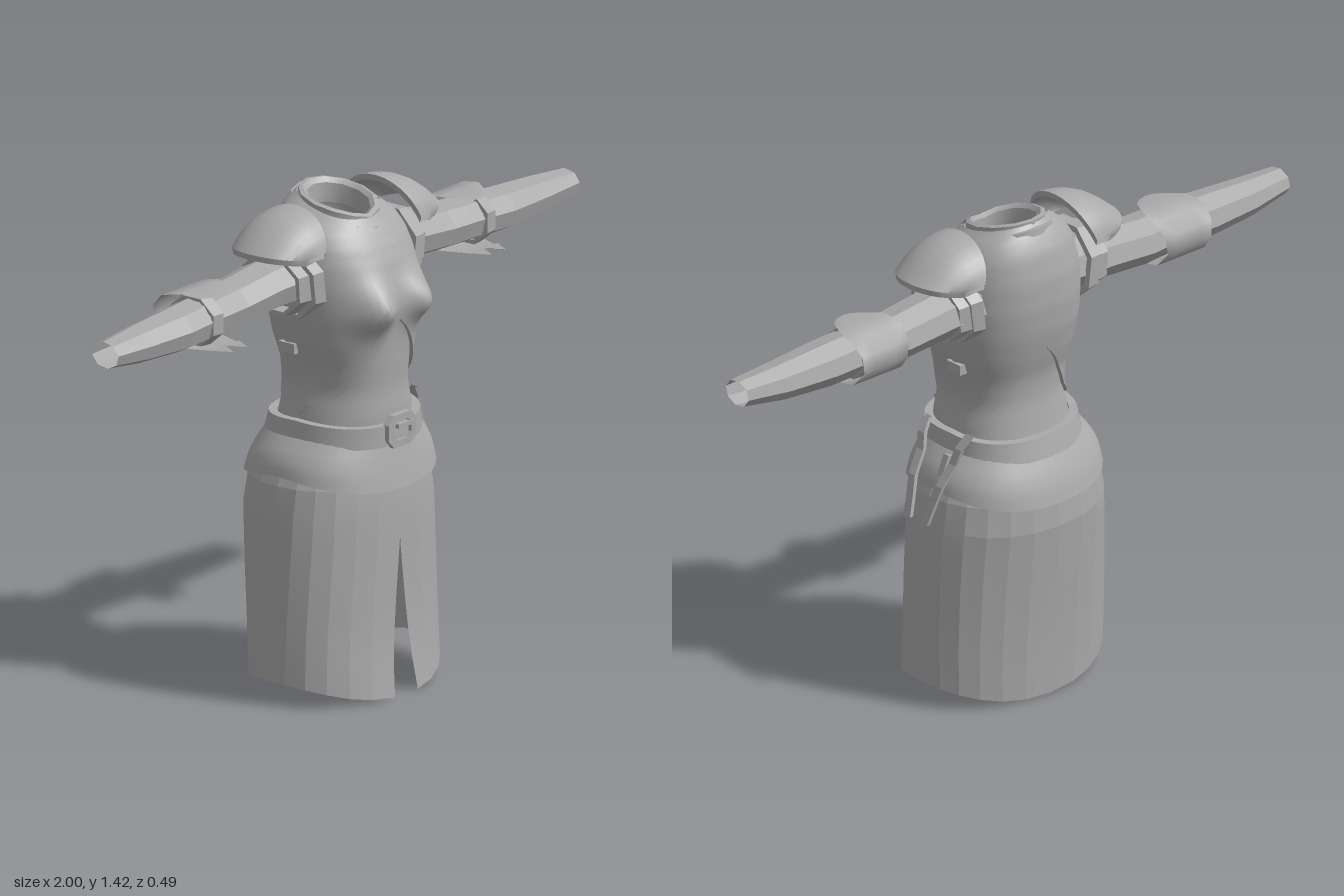
import * as THREE from 'three';
import { toCreasedNormals } from 'three/addons/utils/BufferGeometryUtils.js';

const steel = new THREE.MeshStandardMaterial({ color: 0xaaaaaa, side: THREE.DoubleSide });
steel.name = 'grey steel';
const SMOOTH = 0.8, FLAT = 0.01;

// Surface from a rule fn(i, j) over nu x nv points, optionally closed in either direction
function surface(name, nu, nv, closeU, closeV, crease, fn) {
  const pos = [], idx = [];
  for (let j = 0; j < nv; j++) for (let i = 0; i < nu; i++) pos.push(...fn(i, j));
  for (let j = 0; j < (closeV ? nv : nv - 1); j++) {
    for (let i = 0; i < (closeU ? nu : nu - 1); i++) {
      const i2 = (i + 1) % nu, j2 = (j + 1) % nv;
      const a = j * nu + i, b = j * nu + i2, c = j2 * nu + i2, d = j2 * nu + i;
      idx.push(a, b, c, a, c, d);
    }
  }
  const geo = new THREE.BufferGeometry();
  geo.setAttribute('position', new THREE.Float32BufferAttribute(pos, 3));
  geo.setIndex(idx);
  return part(name, toCreasedNormals(geo, crease));
}

function part(name, geo) {
  const mesh = new THREE.Mesh(geo, steel);
  mesh.name = name;
  return mesh;
}

// Interpolates a table of [y, halfWidth, front, back] sorted by rising y
function sample(table, y) {
  let k = 0;
  while (k < table.length - 2 && y > table[k + 1][0]) k++;
  const p = table[k], q = table[k + 1];
  const t = THREE.MathUtils.clamp((y - p[0]) / (q[0] - p[0]), 0, 1);
  return p.map((v, n) => v + (q[n] - v) * t);
}

// Point on a rounded-box outline; theta 0 is the front
function outline([, a, f, b], theta, grow = 0, power = 0.87) {
  const s = Math.sin(theta), c = Math.cos(theta);
  return [(a + grow) * Math.sign(s) * Math.abs(s) ** power,
    ((c > 0 ? f : b) + grow) * Math.sign(c) * Math.abs(c) ** power];
}

const TORSO = [
  [0.66, 0.2, 0.18, 0.17], [0.72, 0.195, 0.185, 0.165], [0.8, 0.18, 0.19, 0.15],
  [0.88, 0.16, 0.185, 0.137], [0.95, 0.168, 0.19, 0.14], [1.02, 0.19, 0.193, 0.16],
  [1.1, 0.2, 0.19, 0.177], [1.18, 0.203, 0.183, 0.183], [1.25, 0.195, 0.17, 0.18],
  [1.31, 0.18, 0.15, 0.162], [1.35, 0.155, 0.128, 0.137], [1.385, 0.1, 0.098, 0.11],
];
function torsoPoint(theta, y, grow) {
  let [x, z] = outline(sample(TORSO, y), theta, grow);
  if (z > 0) {
    const dx = (Math.abs(x) - 0.088) / 0.062, dy = (y - 1.12) / (y > 1.12 ? 0.07 : 0.06);
    const far = (Math.abs(x) + 0.088) / 0.062;
    z += 0.065 * Math.exp(-dy * dy) * (Math.exp(-dx * dx) + Math.exp(-far * far));
  }
  return [x, y - z * 0.25 * THREE.MathUtils.smoothstep(y, 1.2, 1.38), z];
}

// Closed band: an outline swept through a small loop of [y, grow]
function band(name, table, sides, loop, drop, crease) {
  return surface(name, sides, loop.length, true, true, crease, (i, j) => {
    const th = (i / sides) * Math.PI * 2, [y, grow] = loop[j];
    const [x, z] = outline(sample(table, y), th, grow);
    return [x, y + drop(th, y), z];
  });
}

// Faceted ring around the arm, with centre, radii and a span in x
function armRing(name, x0, x1, cy, ry, cz, rz, lean = 0) {
  const loop = [[x0, 1], [x1, 0.96], [x1, 0.84], [x0, 0.84]];
  return surface(name, 8, 4, true, true, FLAT, (i, j) => {
    const a = ((i + 0.5) / 8) * Math.PI * 2, [x, s] = loop[j];
    return [x + lean * Math.sin(a), cy + ry * s * Math.sin(a) * 1.05, cz + rz * s * Math.cos(a) * 1.05];
  });
}

function makeArm(side) {
  const arm = new THREE.Group();
  arm.name = side > 0 ? 'leftArm' : 'rightArm';
  // Sleeve: x, centre y, radius y, centre z, radius z
  const rows = [[0.17, 1.2, 0.075, -0.035, 0.09], [0.3, 1.197, 0.07, -0.04, 0.088],
    [0.45, 1.183, 0.067, -0.04, 0.084], [0.57, 1.18, 0.065, -0.03, 0.076],
    [0.7, 1.174, 0.063, -0.026, 0.076], [0.86, 1.174, 0.053, -0.025, 0.064], [1, 1.179, 0.038, -0.018, 0.048]];
  arm.add(surface('sleeve', 8, rows.length, true, false, FLAT, (i, j) => {
    const a = ((i + 0.2) / 8) * Math.PI * 2, [x, cy, ry, cz, rz] = rows[j];
    return [x, cy + ry * Math.sin(a), cz + rz * Math.cos(a)];
  }));
  arm.add(armRing('armholeRim', 0.195, 0.235, 1.2, 0.112, -0.018, 0.125, 0.015));
  arm.add(armRing('shoulderCuff', 0.225, 0.272, 1.2, 0.093, -0.025, 0.107, 0.008));
  arm.add(armRing('elbowStrap', 0.572, 0.612, 1.179, 0.073, -0.03, 0.084));

  // Elbow guard wraps over the back of the arm and ends in two points: y, z, half width
  const guard = [[1.253, 0.02, 0.05], [1.262, -0.04, 0.085], [1.25, -0.1, 0.095], [1.215, -0.138, 0.085],
    [1.165, -0.142, 0.08], [1.12, -0.105, 0.088], [1.106, -0.04, 0.085], [1.107, 0.04, 0.055], [1.11, 0.05, 0.06]];
  arm.add(surface('elbowGuard', 5, guard.length, false, false, SMOOTH, (i, j) => {
    const [y, z, w] = guard[j], s = i / 2 - 1;
    const tip = j === guard.length - 1 && i % 2 ? 0.052 : 0;
    const peak = j === 0 ? 0.02 * (1 - s * s) : 0;
    return [0.56 + s * w, y, z + tip + peak];
  }));

  // Pauldron: an arched plate with a thick rim
  const NV = 6;
  arm.add(surface('pauldron', 15, NV * 2, false, true, 0.6, (i, j) => {
    const w = i / 7 - 1, inner = j >= NV;
    const v = (inner ? 2 * NV - 1 - j : j) / (NV - 1);
    const arch = Math.cos(w * 1.45);
    const x0 = 0.172 + 0.035 * w * w, y0 = 1.288 + 0.118 * arch;
    const x1 = 0.372 - 0.105 * w * w, y1 = 1.312 - 0.02 * w * w;
    const lift = 0.025 * Math.sin(v * Math.PI) * arch;
    return [x0 + (x1 - x0) * v, y0 + (y1 - y0) * v + lift - (inner ? 0.016 : 0),
      -0.02 + 0.137 * Math.sin(w * 1.45) * (1 - 0.1 * v * v) * (inner ? 0.96 : 1)];
  }));

  // Side lacing strip and buckle on the breastplate
  arm.add(surface('sideSeam', 2, 9, false, false, SMOOTH, (i, j) =>
    torsoPoint(Math.PI / 2 + 0.06 + i * 0.09, 0.83 + j * 0.033, 0.014)));
  const clasp = part('sideBuckle', new THREE.BoxGeometry(0.03, 0.03, 0.055));
  clasp.position.set(0.193, 1.0, -0.025);
  arm.add(clasp);

  if (side < 0) { // Mirror by moving vertices and turning the faces round
    arm.traverse((o) => {
      if (!o.isMesh) return;
      o.position.x *= -1;
      o.geometry = o.geometry.index ? o.geometry.toNonIndexed() : o.geometry;
      o.geometry.scale(-1, 1, 1);
      for (const key of ['position', 'normal']) {
        const at = o.geometry.attributes[key], p = new THREE.Vector3(), q = new THREE.Vector3();
        for (let k = 0; k < at.count; k += 3) {
          p.fromBufferAttribute(at, k + 1);
          q.fromBufferAttribute(at, k + 2);
          at.setXYZ(k + 1, q.x, q.y, q.z);
          at.setXYZ(k + 2, p.x, p.y, p.z);
        }
      }
    });
  }
  return arm;
}

export function createModel() {
  const model = new THREE.Group();
  model.name = 'armourOutfit';
  const TAU = Math.PI * 2;

  // Bodice and the breastplate, whose lower edge peaks at front and back
  model.add(surface('bodice', 64, 30, true, false, SMOOTH, (i, j) =>
    torsoPoint((i / 64) * TAU, 0.68 + (0.7 * j) / 29, 0)));
  model.add(surface('breastplate', 64, 32, true, false, SMOOTH, (i, j) => {
    const th = (i / 64) * TAU;
    const low = (Math.cos(th) > 0 ? 1.08 : 1.05) - 0.245 * Math.abs(Math.sin(th));
    return torsoPoint(th, low + (1.382 - low) * Math.max(0, j - 1) / 30, j === 0 ? 0 : 0.009);
  }));

  // Collar: radius and height loop, higher at the back with a dip at the front
  const collar = [[0.132, 1.352], [0.128, 1.372], [0.108, 1.376], [0.108, 1.392], [0.096, 1.396], [0.084, 1.385], [0.082, 1.33]];
  model.add(surface('collar', 12, collar.length, true, false, 0.6, (i, j) => {
    const th = (i / 12) * TAU, [r, y] = collar[j];
    const z = r * Math.cos(th) * 1.08 - 0.008;
    return [r * Math.sin(th), y - z * 0.22 - 0.014 * Math.max(0, Math.cos(th)) ** 6, z];
  }));

  // Skirt with a front slit, a raised hem at the sides and an inner layer
  const SKIRT = [[0, 0.305, 0.235, 0.195], [0.06, 0.31, 0.225, 0.197], [0.2, 0.31, 0.213, 0.205],
    [0.4, 0.304, 0.21, 0.222], [0.55, 0.292, 0.21, 0.236], [0.62, 0.277, 0.205, 0.225], [0.7, 0.24, 0.195, 0.19]];
  const COLS = 25, ROWS = 9;
  model.add(surface('skirt', COLS, ROWS * 2, false, true, 0.15, (i, j) => {
    const inner = j >= ROWS, t = (inner ? 2 * ROWS - 1 - j : j) / (ROWS - 1);
    const gap = Math.asin(0.17 * Math.max(0, (t - 0.36) / 0.64)) ** 1.13 * 0.98;
    const th = gap + (TAU - 2 * gap) * (i / (COLS - 1));
    const hem = 0.065 * Math.sin(th) ** 2;
    const y = 0.7 + (hem - 0.7) * t;
    const edge = i === 0 || i === COLS - 1;
    const [x, z] = outline(sample(SKIRT, y), th, inner && !edge ? -0.014 : 0, 0.9);
    return [x, y, z];
  }));

  // Flared hip plate, longer at front and back
  const HIPS = [[0.6, 0.277, 0.232, 0.242], [0.65, 0.27, 0.222, 0.23], [0.7, 0.245, 0.21, 0.207], [0.76, 0.2, 0.197, 0.175]];
  const hipDrop = (th, y) => {
    const c = Math.abs(Math.cos(th));
    return (0.05 - 0.05 * c ** 1.3) * THREE.MathUtils.clamp((0.76 - y) / 0.16, 0, 1);
  };
  model.add(band('hipPlate', HIPS, 40, [[0.6, 0], [0.63, 0], [0.66, 0], [0.7, 0], [0.76, 0],
    [0.7, -0.016], [0.6, -0.016]], hipDrop, 0.6));

  // Belt and its eight-sided buckle
  const BELT = [[0.735, 0.208, 0.205, 0.188], [0.8, 0.198, 0.203, 0.17]];
  model.add(band('belt', BELT, 40, [[0.735, 0.008], [0.795, 0.008], [0.795, -0.015], [0.735, -0.015]],
    (th) => -0.012 * Math.abs(Math.cos(th)), 0.6));
  const octagon = (shape, w, h) => shape.setFromPoints([[-1, 0.5], [-0.6, 1], [0.6, 1], [1, 0.5], [1, -0.5],
    [0.6, -1], [-0.6, -1], [-1, -0.5]].map(([x, y]) => new THREE.Vector2(x * w, y * h)));
  const frame = octagon(new THREE.Shape(), 0.06, 0.047);
  frame.holes.push(octagon(new THREE.Path(), 0.037, 0.027));
  const buckle = part('beltBuckle', new THREE.ExtrudeGeometry(frame, { depth: 0.02, bevelEnabled: false }));
  buckle.position.set(0, 0.762, 0.2);
  const prong = part('buckleProng', new THREE.BoxGeometry(0.06, 0.012, 0.012));
  prong.position.set(0.01, 0.775, 0.217);
  model.add(buckle, prong);

  // Two hanging straps and a small loop on the left hip: x, y along the drop
  const drop = [[0.195, 0.81], [0.222, 0.775], [0.235, 0.73], [0.275, 0.67], [0.292, 0.62], [0.312, 0.56]];
  for (const [name, z0, z1] of [['frontStrap', 0.09, 0.038], ['backStrap', -0.083, -0.032]]) {
    model.add(surface(name, 4, drop.length, true, false, FLAT, (i, j) => {
      const [x, y] = drop[j], out = i === 1 || i === 2 ? 0.012 : 0;
      const z = z0 + (z1 - z0) * (j / (drop.length - 1));
      return [x + out, y, z + (i < 2 ? 0.013 : -0.013)];
    }));
  }
  const loop = part('strapLoop', new THREE.BoxGeometry(0.025, 0.065, 0.02));
  loop.position.set(0.245, 0.715, -0.035);
  loop.rotation.z = 0.4;
  model.add(loop);

  model.add(makeArm(1), makeArm(-1));
  return model;
}
